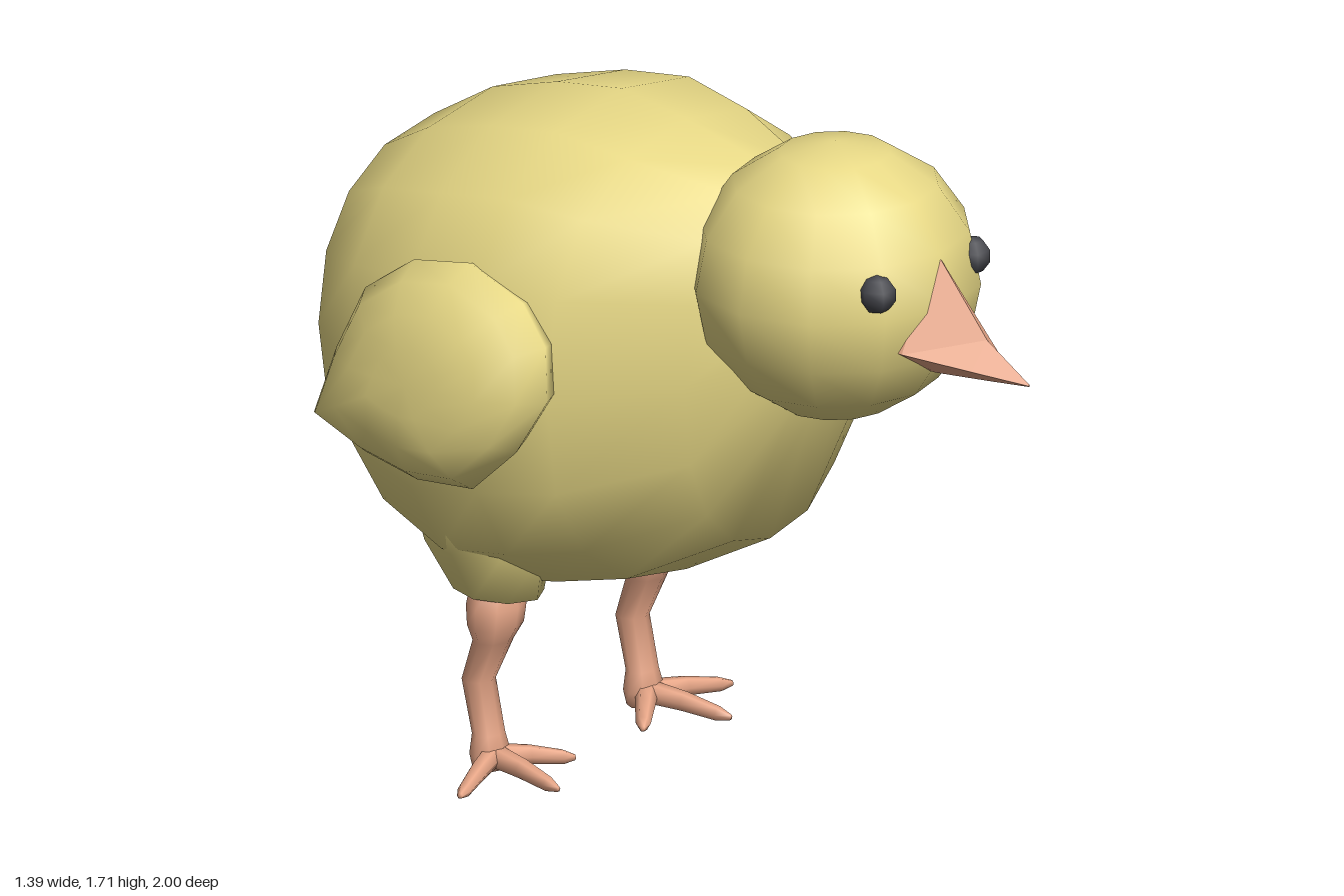
import * as THREE from 'three';

const paint = (color, extra = {}) => new THREE.MeshStandardMaterial({ color, ...extra });
const down = paint(0xe8d986);
const skin = paint(0xe8a788);
const horn = paint(0xe8a788, { flatShading: true });
const dark = paint(0x45464c);

// Skin a row of equal-sized vertex rings, closing both ends; faces always point outward.
function loft(rings) {
  const n = rings[0].length;
  const verts = rings.flat();
  const idx = [];
  for (let i = 0; i < rings.length - 1; i++) {
    for (let j = 0; j < n; j++) {
      const a = i * n + j, b = i * n + (j + 1) % n;
      idx.push(a, b, a + n, b, b + n, a + n);
    }
  }
  [0, rings.length - 1].forEach((r) => {
    const mid = new THREE.Vector3();
    rings[r].forEach((p) => mid.addScaledVector(p, 1 / n));
    const c = verts.push(mid) - 1;
    for (let j = 0; j < n; j++) {
      const a = r * n + j, b = r * n + (j + 1) % n;
      if (r === 0) idx.push(b, a, c); else idx.push(a, b, c);
    }
  });
  let volume = 0;
  for (let i = 0; i < idx.length; i += 3) {
    const [a, b, c] = [verts[idx[i]], verts[idx[i + 1]], verts[idx[i + 2]]];
    volume += a.dot(new THREE.Vector3().crossVectors(b, c));
  }
  if (volume < 0) idx.reverse();
  const g = new THREE.BufferGeometry().setFromPoints(verts);
  g.setIndex(idx);
  g.computeVertexNormals();
  return g;
}

const circle = (n, fn) => Array.from({ length: n }, (_, i) => {
  const a = (i / n) * Math.PI * 2;
  return fn(Math.cos(a), Math.sin(a));
});

// Stack of horizontal oval rings: [x, y, z, radiusX, radiusZ]
const column = (rows, n = 8) => loft(rows.map(([x, y, z, rx, rz]) =>
  circle(n, (c, s) => new THREE.Vector3(x + c * rx, y, z + s * rz))));

// Tapering toe from a to b, with a slightly arched middle
function toe(a, b) {
  const dir = b.clone().sub(a).setY(0).normalize();
  const rows = [[-0.08, 0.03, 0], [0.45, 0.024, 0.004], [0.85, 0.018, 0], [1, 0.007, 0]];
  return loft(rows.map(([t, r, lift]) => circle(6, (c, s) => {
    const p = a.clone().lerp(b, t);
    return new THREE.Vector3(p.x + dir.z * c * r, Math.max(0, p.y + lift + s * r), p.z - dir.x * c * r);
  })));
}

function add(parent, name, geometry, material) {
  const mesh = new THREE.Mesh(geometry, material);
  mesh.name = name;
  parent.add(mesh);
  return mesh;
}

function bodyGeometry() {
  // [z, top, bottom, half width]
  const rows = [
    [-1.0, 1.17, 1.1, 0.03], [-0.93, 1.34, 0.8, 0.3], [-0.84, 1.48, 0.66, 0.43],
    [-0.66, 1.59, 0.52, 0.55], [-0.46, 1.65, 0.43, 0.585], [-0.26, 1.68, 0.46, 0.58],
    [-0.06, 1.65, 0.51, 0.52], [0.2, 1.59, 0.65, 0.32], [0.4, 1.45, 1.02, 0.2],
  ];
  const fuller = (v) => Math.sign(v) * Math.abs(v) ** 0.88;
  return loft(rows.map(([z, top, bottom, w]) => circle(16, (c, s) => new THREE.Vector3(
    fuller(c) * w, (top + bottom) / 2 + fuller(s) * (top - bottom) / 2, z))));
}

function beakGeometry() {
  // Diamond sections: [z, top, side height, half width, bottom]
  const rows = [
    [0.6, 1.53, 1.27, 0.125, 1.19], [0.71, 1.5, 1.27, 0.125, 1.19],
    [0.87, 1.31, 1.245, 0.058, 1.207], [1.0, 1.228, 1.225, 0.003, 1.222],
  ];
  return loft(rows.map(([z, top, mid, w, low]) => [
    new THREE.Vector3(w, mid, z), new THREE.Vector3(0, top, z),
    new THREE.Vector3(-w, mid, z), new THREE.Vector3(0, low, z),
  ]));
}

function wingGeometry(side) {
  // Outline in (z, y), pointed at the lower rear
  const outline = [
    [-0.02, 1.1], [-0.04, 1.23], [-0.12, 1.32], [-0.29, 1.38], [-0.46, 1.35], [-0.6, 1.25],
    [-0.67, 1.09], [-0.72, 0.92], [-0.55, 0.86], [-0.39, 0.83], [-0.22, 0.845], [-0.1, 0.96],
  ];
  // [scale about the centre, distance from the body's middle]
  const rows = [[0.9, 0.49], [1, 0.565], [0.86, 0.625], [0.6, 0.668], [0.3, 0.685]];
  return loft(rows.map(([k, x]) => outline.map(([z, y]) => {
    const py = 1.1 + (y - 1.1) * k;
    return new THREE.Vector3(side * (x + (1.1 - py) * 0.14), py, -0.37 + (z + 0.37) * k);
  })));
}

function leg(side) {
  const g = new THREE.Group();
  g.name = side > 0 ? 'leftLeg' : 'rightLeg';
  const mirror = (rows) => rows.map(([x, ...rest]) => [side * x, ...rest]);

  // Feathered thigh
  add(g, 'thigh', column(mirror([
    [0.265, 0.45, -0.42, 0.095, 0.12], [0.29, 0.58, -0.43, 0.14, 0.165], [0.34, 0.8, -0.41, 0.19, 0.18],
  ])), down);

  // Shank with a rounded upper joint and a bent ankle
  add(g, 'shank', column(mirror([
    [0.285, 0, -0.435, 0.04, 0.035], [0.285, 0.04, -0.43, 0.055, 0.045], [0.285, 0.09, -0.435, 0.045, 0.035],
    [0.285, 0.22, -0.465, 0.042, 0.04], [0.285, 0.33, -0.42, 0.055, 0.045],
    [0.283, 0.37, -0.415, 0.075, 0.062], [0.28, 0.42, -0.415, 0.078, 0.068], [0.28, 0.5, -0.415, 0.06, 0.055],
  ])), skin);

  // Three splayed toes
  [[0.125, -0.3], [0.32, -0.19], [0.505, -0.34]].forEach(([x, z], i) => {
    const from = new THREE.Vector3(side * 0.285, 0.035, -0.42);
    add(g, ['innerToe', 'middleToe', 'outerToe'][i], toe(from, new THREE.Vector3(side * x, 0.012, z)), skin);
  });
  return g;
}

export function createModel() {
  const model = new THREE.Group();
  model.name = 'chick';

  add(model, 'body', bodyGeometry(), down);

  // Low-poly round head
  const head = add(model, 'head', new THREE.SphereGeometry(1, 12, 8), down);
  head.scale.set(0.355, 0.343, 0.35);
  head.position.set(0, 1.362, 0.4);

  add(model, 'beak', beakGeometry(), horn);

  for (const side of [1, -1]) {
    const label = side > 0 ? 'left' : 'right';
    const eye = add(model, label + 'Eye', new THREE.SphereGeometry(0.048, 6, 5), dark);
    eye.position.set(side * 0.175, 1.43, 0.675);
    add(model, label + 'Wing', wingGeometry(side), down);
    model.add(leg(side));
  }
  return model;
}
